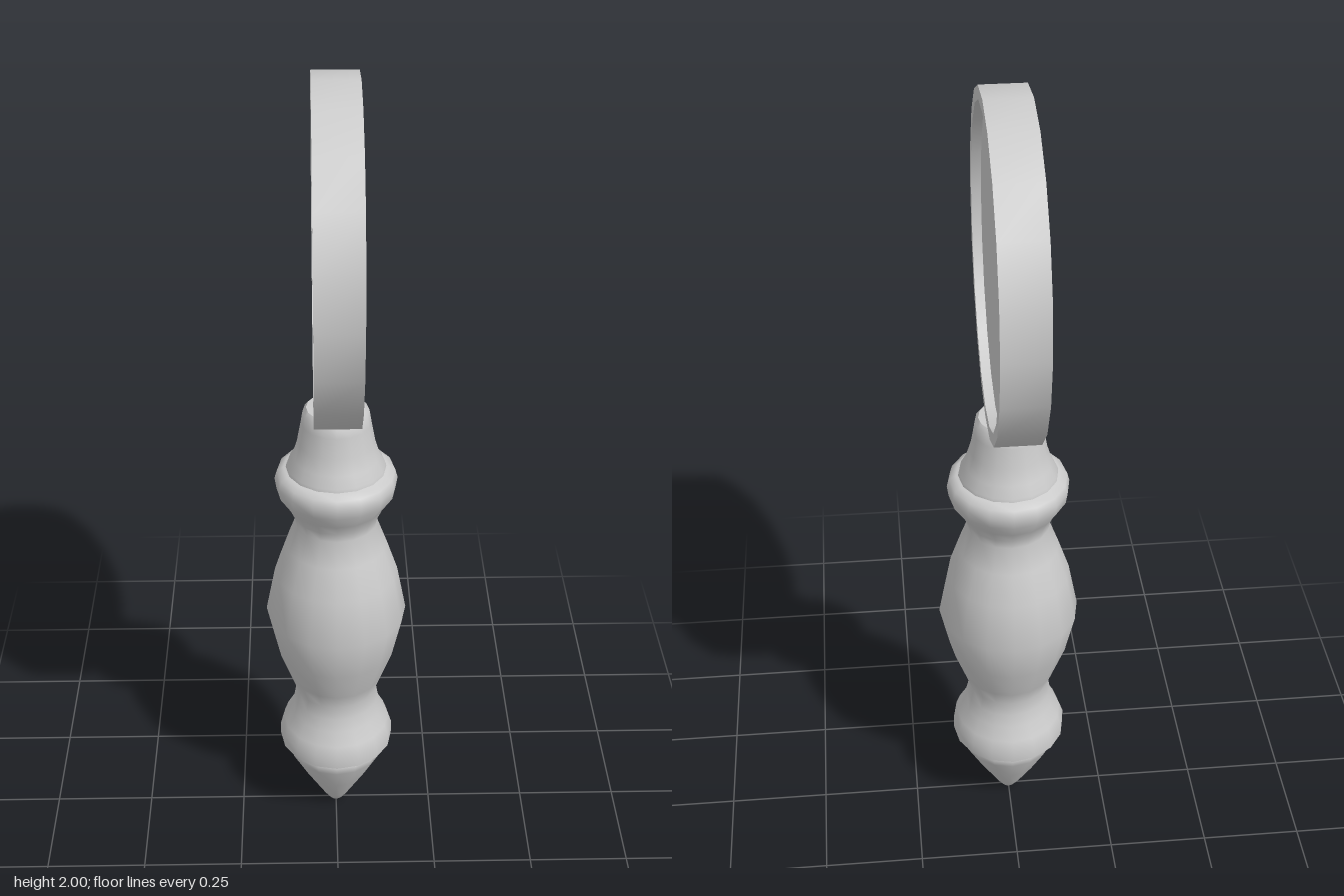
import * as THREE from 'three';
import { toCreasedNormals } from 'three/addons/utils/BufferGeometryUtils.js';

const material = new THREE.MeshStandardMaterial({ color: 0xcccccc });

// Turned part from [radius, height] pairs, listed bottom to top
function turned(name, profile, sides) {
  const points = profile.map(([r, y]) => new THREE.Vector2(r, y));
  const geometry = toCreasedNormals(new THREE.LatheGeometry(points, sides), 0.8);
  const mesh = new THREE.Mesh(geometry, material);
  mesh.name = name;
  return mesh;
}

export function createModel() {
  const model = new THREE.Group();
  model.name = 'handMirror';

  // Handle: pointed end, swelling grip between two collars, tapered neck
  const handle = new THREE.Group();
  handle.name = 'handle';
  handle.add(
    turned('pointedEnd', [
      [0, 0], [0.018, 0.005], [0.035, 0.03], [0.08, 0.108], [0.12, 0.185],
      [0.126, 0.205], [0.122, 0.218], [0.11, 0.225], [0, 0.225],
    ], 16),
    turned('grip', [
      [0, 0.228], [0.145, 0.228], [0.145, 0.262], [0.135, 0.29], [0.116, 0.325],
      [0.108, 0.36], [0.102, 0.395], [0.118, 0.44], [0.15, 0.53], [0.174, 0.64],
      [0.151, 0.76], [0.124, 0.84], [0.1, 0.905], [0.105, 0.93], [0.117, 0.957],
      [0.143, 0.997], [0.147, 1.025], [0.141, 1.046], [0.125, 1.056], [0, 1.056],
    ], 16),
    turned('neck', [
      [0.12, 1.054], [0.118, 1.064], [0.104, 1.09], [0.092, 1.13], [0.083, 1.18],
      [0.078, 1.21], [0.07, 1.219], [0, 1.221],
    ], 16),
  );
  model.add(handle);

  // Round head facing sideways: rim with a recessed pane on both sides
  const head = new THREE.Group();
  head.name = 'head';
  head.position.y = 1.61;
  head.rotation.z = Math.PI / 2;
  head.add(
    turned('rim', [
      [0.36, -0.053], [0.39, -0.053], [0.39, 0.053], [0.36, 0.053], [0.36, -0.053],
    ], 20),
    turned('pane', [[0, -0.03], [0.36, -0.03], [0.36, 0.03], [0, 0.03]], 20),
  );
  model.add(head);

  return model;
}
